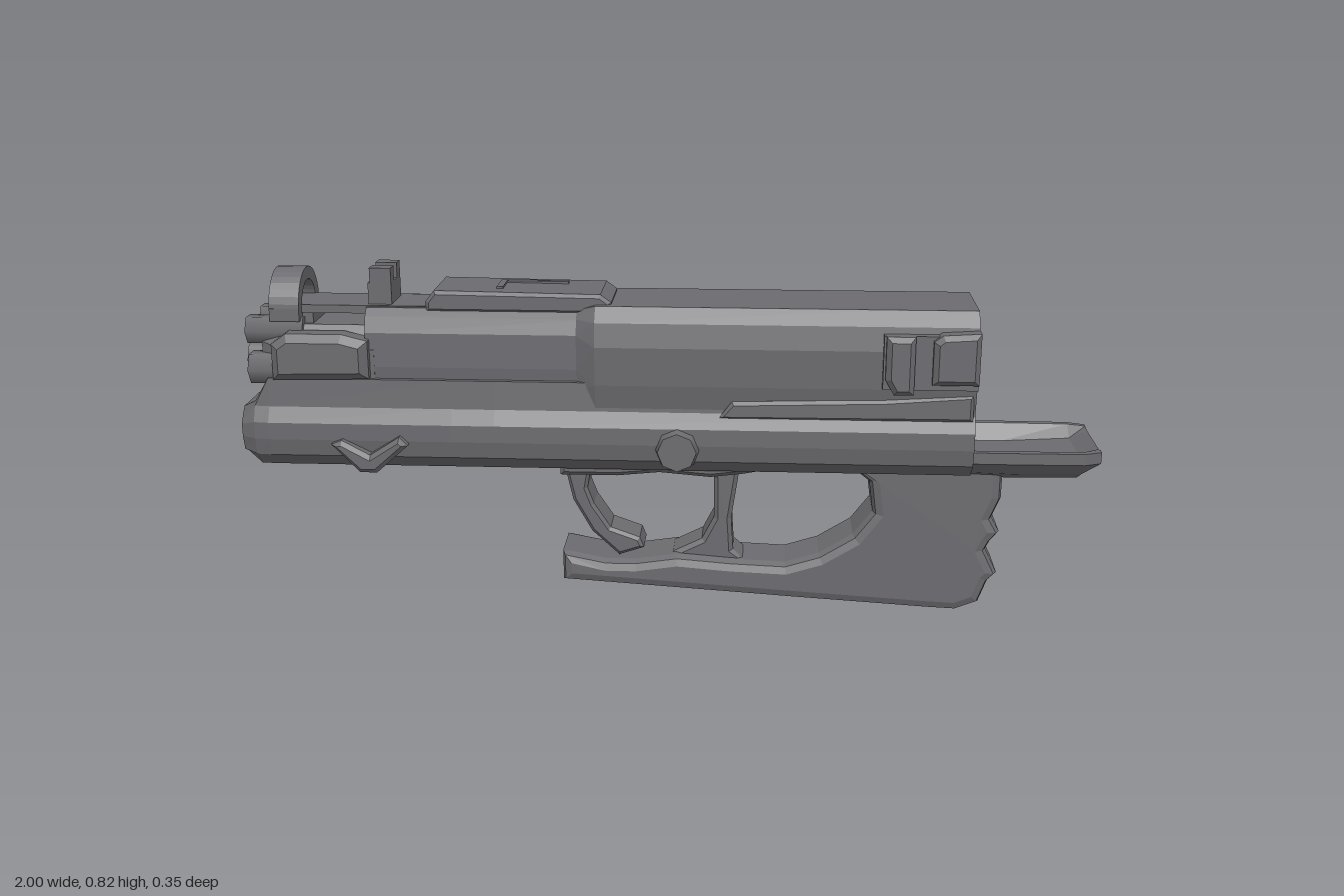
import * as THREE from 'three';

const steel = new THREE.MeshStandardMaterial({ color: 0x6c6c70 });
steel.name = 'gunmetal grey';

export function createModel() {
  const model = new THREE.Group();
  model.name = 'pistol';

  const add = (name, geometry) => {
    const mesh = new THREE.Mesh(geometry, steel);
    mesh.name = name;
    model.add(mesh);
    return mesh;
  };

  const box = (name, x0, x1, y0, y1, z0, z1) => {
    const mesh = add(name, new THREE.BoxGeometry(x1 - x0, y1 - y0, z1 - z0));
    mesh.position.set((x0 + x1) / 2, (y0 + y1) / 2, (z0 + z1) / 2);
    return mesh;
  };

  // Flat outline in x/y, extruded from z0 to z1 with an inward bevel
  const outline = (name, points, z0, z1, bevel = 0, segments = 1) => {
    const shape = new THREE.Shape(points.map(p => new THREE.Vector2(...p)));
    const geometry = new THREE.ExtrudeGeometry(shape, {
      depth: z1 - z0 - 2 * bevel, bevelEnabled: bevel > 0, bevelSize: bevel,
      bevelThickness: bevel, bevelOffset: -bevel, bevelSegments: segments,
    });
    geometry.translate(0, 0, z0 + bevel);
    return add(name, geometry);
  };

  // Symmetric sections [z, y], listed bottom to top, joined along x
  const ringOf = half => [...half, ...half.map(([z, y]) => [-z, y]).reverse()];
  const loft = (name, stations) => {
    const rings = stations.map(([x, half]) => ringOf(half).map(([z, y]) => [x, y, z]));
    const out = [];
    const n = rings[0].length;
    for (let s = 0; s < rings.length - 1; s++) {
      for (let i = 0; i < n; i++) {
        const j = (i + 1) % n;
        const [a, b, c, d] = [rings[s][i], rings[s][j], rings[s + 1][j], rings[s + 1][i]];
        out.push(...a, ...d, ...c, ...a, ...c, ...b);
      }
    }
    const cap = (ring, wantX) => {
      const flat = ring.map(p => new THREE.Vector2(p[2], p[1]));
      for (const [i, j, k] of THREE.ShapeUtils.triangulateShape(flat, [])) {
        const [a, b, c] = [ring[i], ring[j], ring[k]];
        const nx = (b[1] - a[1]) * (c[2] - a[2]) - (b[2] - a[2]) * (c[1] - a[1]);
        out.push(...a, ...(nx * wantX > 0 ? [...b, ...c] : [...c, ...b]));
      }
    };
    cap(rings[0], -1);
    cap(rings[rings.length - 1], 1);
    const geometry = new THREE.BufferGeometry();
    geometry.setAttribute('position', new THREE.Float32BufferAttribute(out, 3));
    geometry.computeVertexNormals();
    return add(name, geometry);
  };

  const rod = (name, x0, x1, y, z, radius, sides) => {
    const geometry = new THREE.CylinderGeometry(radius, radius, x1 - x0, sides);
    geometry.rotateZ(Math.PI / 2);
    const mesh = add(name, geometry);
    mesh.position.set((x0 + x1) / 2, y, z);
    return mesh;
  };

  // Lower frame with a recess under the nose
  const frame = recess => [
    [0.085, 0.358 + recess], [0.1, 0.357], [0.135, 0.39], [0.143, 0.43],
    [0.143, 0.47], [0.125, 0.505], [0.12, 0.572],
  ];
  loft('frame', [
    [-1, [[0.07, 0.395], [0.08, 0.38], [0.11, 0.395], [0.12, 0.43], [0.12, 0.46], [0.105, 0.48], [0.09, 0.495]]],
    [-0.965, frame(0.02).map(([z, y], i) => [z * 0.97, i === 6 ? 0.515 : y])],
    [-0.93, frame(0.03)], [-0.5, frame(0.03)], [-0.4, frame(0)], [0.705, frame(0)],
  ]);

  // Upper slide: slim front, full-width rear
  const slim = [[0.105, 0.55], [0.11, 0.6], [0.108, 0.68], [0.095, 0.715], [0.075, 0.733]];
  const wide = [[0.122, 0.5], [0.134, 0.57], [0.138, 0.66], [0.128, 0.715], [0.1, 0.748]];
  loft('slideFront', [[-0.7, slim], [-0.16, slim]]);
  loft('slideRear', [[-0.21, slim], [-0.165, wide], [0.52, wide]]);

  // Hollow rear end of the slide with the bolt inside
  const toPath = points => points.map(([z, y]) => new THREE.Vector2(z, y));
  const shell = new THREE.Shape(toPath(ringOf(wide)));
  shell.holes.push(new THREE.Path(toPath(ringOf(
    [[0.098, 0.555], [0.112, 0.62], [0.11, 0.69], [0.085, 0.725]]))));
  const shellGeometry = new THREE.ExtrudeGeometry(shell, { depth: 0.185, bevelEnabled: false });
  shellGeometry.rotateY(Math.PI / 2).translate(0.52, 0, 0);
  add('slideShell', shellGeometry);
  rod('bolt', 0.5, 0.69, 0.61, 0, 0.056, 10);
  box('boltBridge', 0.5, 0.64, 0.66, 0.69, -0.06, 0.06);

  // Rear tray
  const tray = (w, low, floor) => [
    [0.05 * w, low], [0.1 * w, low + 0.025], [0.13 * w, 0.395], [0.13 * w, 0.422],
    [0.113 * w, 0.422], [0.085 * w, floor],
  ];
  loft('tail', [
    [0.5, tray(1, 0.345, 0.385)], [0.8, tray(1, 0.337, 0.385)],
    [0.96, tray(0.98, 0.34, 0.395)], [1, tray(0.85, 0.38, 0.418)],
  ]);

  // Grip and the long bar running forward from its base
  outline('gripAndLowerBar', [
    [-0.255, 0.06], [0.3, 0.025], [0.62, 0.006], [0.69, 0.003], [0.745, 0.025],
    [0.765, 0.08], [0.785, 0.1], [0.755, 0.16], [0.765, 0.18], [0.785, 0.205],
    [0.765, 0.24], [0.785, 0.29], [0.785, 0.385], [0.4, 0.385], [0.43, 0.36],
    [0.475, 0.325], [0.485, 0.25], [0.44, 0.19], [0.36, 0.14], [0.28, 0.115],
    [0.15, 0.12], [0.02, 0.13], [-0.08, 0.115], [-0.15, 0.115], [-0.255, 0.135],
  ], -0.08, 0.08, 0.024, 2);

  // Post between the openings, and the curved guard in front of it
  outline('guardPost', [
    [0.17, 0.37], [0.09, 0.37], [0.108, 0.32], [0.108, 0.22], [0.08, 0.165],
    [0.01, 0.13], [0.02, 0.1], [0.2, 0.1], [0.155, 0.14], [0.15, 0.22], [0.165, 0.32],
  ].reverse(), -0.05, 0.05, 0.01);
  outline('guardCurve', [
    [-0.25, 0.35], [-0.23, 0.26], [-0.185, 0.18], [-0.12, 0.12], [-0.06, 0.14],
    [-0.07, 0.165], [-0.14, 0.19], [-0.18, 0.25], [-0.195, 0.29], [-0.185, 0.35],
  ], -0.05, 0.05, 0.008);
  outline('guardMount', [
    [-0.255, 0.335], [-0.12, 0.335], [-0.02, 0.345], [0.1, 0.335], [0.18, 0.345],
    [0.28, 0.365], [0.45, 0.36], [0.45, 0.4], [-0.255, 0.4],
  ], -0.09, 0.09, 0.01);

  // Paired side fittings
  for (const [side, s] of [['left', 1], ['right', -1]]) {
    const span = (a, b) => (s > 0 ? [a, b] : [-b, -a]);
    const label = part => side + part;
    outline(label('FrontCatch'), [
      [-0.78, 0.425], [-0.715, 0.358], [-0.675, 0.358], [-0.6, 0.425],
      [-0.62, 0.445], [-0.69, 0.4], [-0.755, 0.435],
    ], ...span(0.11, 0.168), 0.01);
    const knob = add(label('Knob'), new THREE.CylinderGeometry(0.045, 0.06, 0.06, 8));
    knob.rotation.x = s * Math.PI / 2;
    knob.position.set(0.025, 0.42, s * 0.135);
    outline(label('RailLedge'), [
      [0.12, 0.495], [0.7, 0.495], [0.7, 0.56], [0.5, 0.545], [0.15, 0.535],
    ], ...span(0.1, 0.137), 0.008);
    box(label('RearPlate'), 0.49, 0.705, 0.575, 0.7, ...span(0.11, 0.152));
    outline(label('RearGripBlock'), [
      [0.6, 0.59], [0.705, 0.59], [0.705, 0.71], [0.62, 0.705], [0.6, 0.69],
    ], ...span(0.12, 0.175), 0.012);
    outline(label('RearGripRib'), [
      [0.495, 0.6], [0.515, 0.565], [0.56, 0.565], [0.56, 0.7], [0.495, 0.7],
    ], ...span(0.12, 0.172), 0.012);
    outline(label('MuzzleBlock'), [
      [-0.915, 0.57], [-0.69, 0.575], [-0.69, 0.665], [-0.75, 0.68], [-0.88, 0.68], [-0.915, 0.655],
    ], ...span(0.07, 0.145), 0.018);
  }

  // Muzzle core, bore and the prongs around it
  loft('muzzleCore', [
    [-0.95, [[0.06, 0.53], [0.08, 0.57], [0.08, 0.65], [0.05, 0.68]]],
    [-0.9, [[0.1, 0.53], [0.11, 0.57], [0.11, 0.64], [0.07, 0.69]]],
    [-0.68, [[0.1, 0.53], [0.11, 0.57], [0.11, 0.64], [0.07, 0.69]]],
  ]);
  rod('bore', -1, -0.9, 0.592, 0, 0.042, 8);
  for (const z of [-0.085, 0.085]) {
    rod('lowerMuzzleProng', -0.975, -0.88, 0.59, z, 0.04, 6);
    rod('upperMuzzleProng', -0.985, -0.85, 0.675, z * 0.7, 0.035, 6);
  }

  // Sight strip, hooped front sight and notched block
  box('sightStrip', -0.93, -0.54, 0.716, 0.735, -0.065, 0.065);
  box('sightFoot', -0.93, -0.83, 0.67, 0.72, -0.06, 0.06);
  const hoop = new THREE.Shape();
  hoop.absarc(0, 0, 0.09, 0, Math.PI, false);
  hoop.absarc(0, 0, 0.06, Math.PI, 0, true);
  const hoopGeometry = new THREE.ExtrudeGeometry(hoop, { depth: 0.07, bevelEnabled: false, curveSegments: 8 });
  hoopGeometry.rotateY(Math.PI / 2).translate(-0.925, 0.722, 0);
  add('frontSightHoop', hoopGeometry);
  box('hoopBase', -0.925, -0.855, 0.7, 0.73, -0.09, 0.09);
  box('notchBase', -0.7, -0.645, 0.73, 0.785, -0.05, 0.05);
  for (const z of [-0.033, 0.033]) box('notchEar', -0.695, -0.645, 0.78, 0.82, z - 0.017, z + 0.017);

  // Raised plate on top of the slide
  outline('topPlate', [
    [-0.56, 0.725], [-0.13, 0.725], [-0.13, 0.752], [-0.155, 0.77], [-0.54, 0.775], [-0.56, 0.75],
  ], -0.085, 0.085, 0.008);
  box('topPlateRib', -0.4, -0.385, 0.765, 0.778, -0.04, 0.04);
  box('topPlateSpine', -0.4, -0.24, 0.765, 0.777, -0.045, -0.03);

  return model;
}
